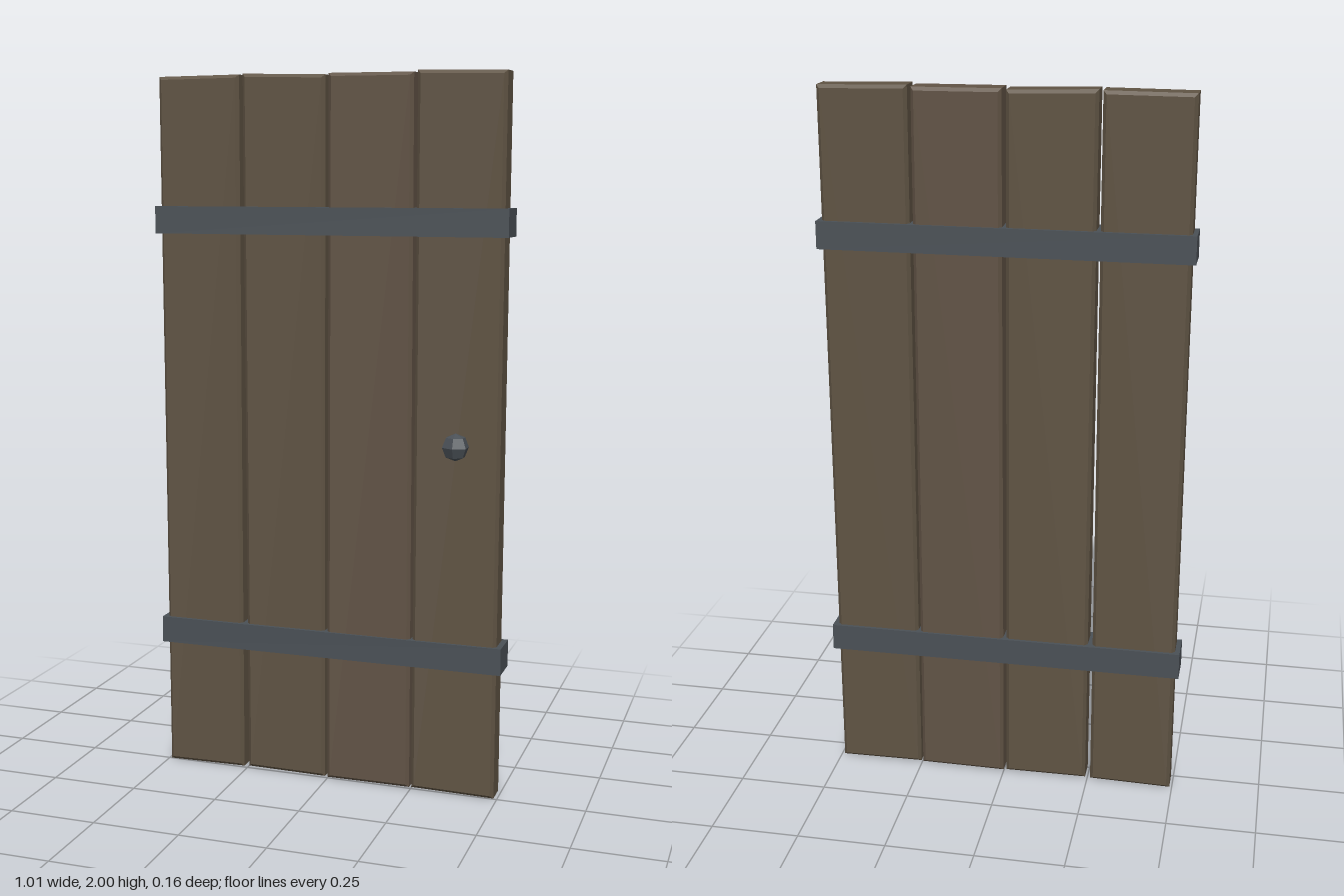
import * as THREE from 'three';

const wood = new THREE.MeshStandardMaterial({ color: 0x5f5343, flatShading: true });
wood.name = 'weathered wood';
const ruddyWood = new THREE.MeshStandardMaterial({ color: 0x615345, flatShading: true });
ruddyWood.name = 'ruddy wood';
const iron = new THREE.MeshStandardMaterial({ color: 0x4a5056, flatShading: true });
iron.name = 'dark iron';

// Plank with chamfered edges; the four corners may be slightly uneven
function makePlank([bl, br, tr, tl], zBack, zFront, material) {
  const b = 0.009;
  const shape = new THREE.Shape([
    new THREE.Vector2(bl[0] + b, bl[1] + b),
    new THREE.Vector2(br[0] - b, br[1] + b),
    new THREE.Vector2(tr[0] - b, tr[1] - b),
    new THREE.Vector2(tl[0] + b, tl[1] - b),
  ]);
  const geometry = new THREE.ExtrudeGeometry(shape, {
    depth: zFront - zBack - 2 * b,
    bevelEnabled: true, bevelThickness: b, bevelSize: b, bevelSegments: 1,
  });
  geometry.translate(0, 0, zBack + b);
  return new THREE.Mesh(geometry, material);
}

export function createModel() {
  const door = new THREE.Group();
  door.name = 'plankDoor';

  // Four upright planks, left to right as seen from the front
  const planks = [
    { c: [[-0.493, 0], [-0.259, 0.004], [-0.256, 1.998], [-0.495, 1.996]], z: [-0.07, 0.008], m: wood },
    { c: [[-0.244, 0.006], [-0.008, 0.004], [-0.007, 1.994], [-0.246, 2]], z: [-0.07, 0.007], m: wood },
    { c: [[0, 0.004], [0.246, 0.005], [0.242, 1.996], [0.004, 1.997]], z: [-0.073, 0.011], m: ruddyWood },
    { c: [[0.252, 0.005], [0.491, 0.002], [0.494, 1.996], [0.252, 2]], z: [-0.07, 0.009], m: wood },
  ];
  planks.forEach((p, i) => {
    const plank = makePlank(p.c, p.z[0], p.z[1], p.m);
    plank.name = `plank${i + 1}`;
    door.add(plank);
  });

  // Iron straps wrapping both faces
  for (const [name, y] of [['lowerStrap', 0.405], ['upperStrap', 1.602]]) {
    const strap = new THREE.Mesh(new THREE.BoxGeometry(1.014, 0.076, 0.096), iron);
    strap.name = name;
    strap.position.set(0, y, -0.031);
    door.add(strap);
  }

  // Faceted knob on the front, one edge pointing forward
  const knob = new THREE.Mesh(new THREE.SphereGeometry(0.038, 6, 4), iron);
  knob.name = 'knob';
  knob.rotation.y = Math.PI / 2;
  knob.position.set(0.377, 1.003, 0.04);
  door.add(knob);

  return door;
}
